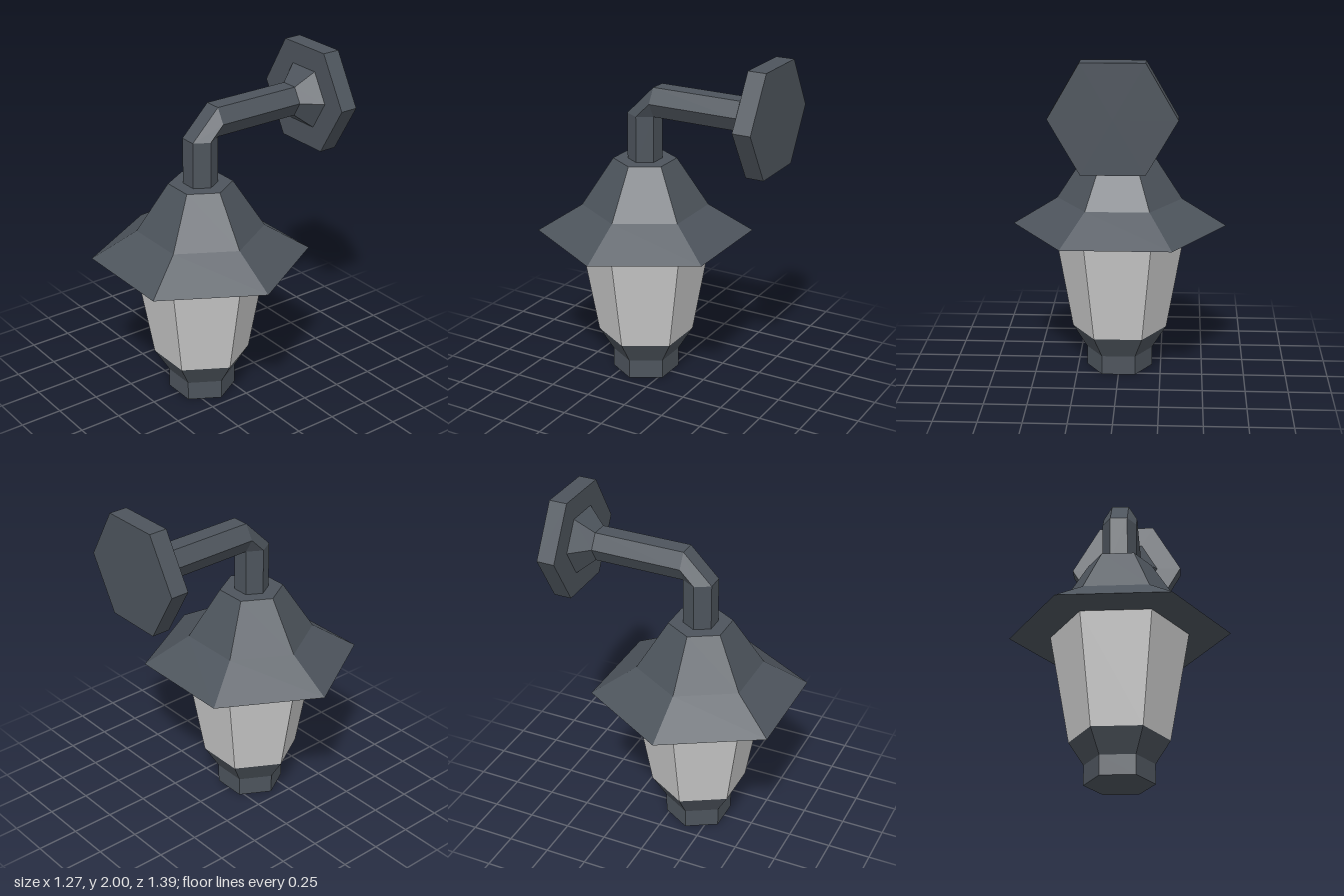
import * as THREE from 'three';

const SIDES = 6;
const LAMP_Z = 0.148;
const metal = new THREE.MeshStandardMaterial({ color: 0x4d545c, flatShading: true });
const glass = new THREE.MeshStandardMaterial({ color: 0xcccccc, flatShading: true });

// Six-sided turned part with corners on +x and -x; profile is [radius, height], bottom to top
function hexTurned(name, profile, material) {
  const points = profile.map(([r, y]) => new THREE.Vector2(r, y));
  const mesh = new THREE.Mesh(new THREE.LatheGeometry(points, SIDES, Math.PI / 6), material);
  mesh.name = name;
  return mesh;
}

// Hexagonal tube through rings; each ring is { y, z, r, n } with n its direction across x
function hexTube(name, rings, material) {
  const positions = [];
  const index = [];
  for (const { y, z, r, n } of rings) {
    for (let i = 0; i < SIDES; i++) {
      const a = (i / SIDES) * Math.PI * 2;
      const s = r * Math.sin(a);
      positions.push(r * Math.cos(a), y + s * n[0], z + s * n[1]);
    }
  }
  for (let k = 0; k < rings.length - 1; k++) {
    for (let i = 0; i < SIDES; i++) {
      const a = k * SIDES + i;
      const b = k * SIDES + ((i + 1) % SIDES);
      index.push(a, a + SIDES, b, b, a + SIDES, b + SIDES);
    }
  }
  const geometry = new THREE.BufferGeometry();
  geometry.setAttribute('position', new THREE.Float32BufferAttribute(positions, 3));
  geometry.setIndex(index);
  geometry.computeVertexNormals();
  const mesh = new THREE.Mesh(geometry, material);
  mesh.name = name;
  return mesh;
}

export function createModel() {
  const model = new THREE.Group();
  model.name = 'wallLantern';

  // Lantern body: base, glass and flared roof on one axis
  const lantern = new THREE.Group();
  lantern.name = 'lantern';
  lantern.position.z = LAMP_Z;
  lantern.add(
    hexTurned('base', [[0, 0], [0.198, 0], [0.198, 0.115], [0.283, 0.25], [0, 0.25]], metal),
    hexTurned('glassShade', [[0.283, 0.25], [0.396, 0.89]], glass),
    hexTurned('roof', [[0, 0.89], [0.633, 0.89], [0.37, 1.053], [0.185, 1.34], [0, 1.34]], metal)
  );
  model.add(lantern);

  // Bent arm: up from the roof, chamfered elbow, back to the flared wall end
  const up = [0, 1];
  const back = [1, 0];
  model.add(hexTube('arm', [
    { y: 1.33, z: LAMP_Z, r: 0.1, n: up },
    { y: 1.613, z: LAMP_Z, r: 0.1, n: up },
    { y: 1.7, z: 0.062, r: 0.1, n: back },
    { y: 1.7, z: -0.485, r: 0.1, n: back },
    { y: 1.7, z: -0.592, r: 0.199, n: back }
  ], metal));

  // Wall plate, turned to face forwards
  const plate = hexTurned('wallPlate',
    [[0, -0.698], [0.346, -0.698], [0.346, -0.59], [0, -0.59]], metal);
  plate.rotation.x = Math.PI / 2;
  plate.position.y = 1.7;
  model.add(plate);

  return model;
}
